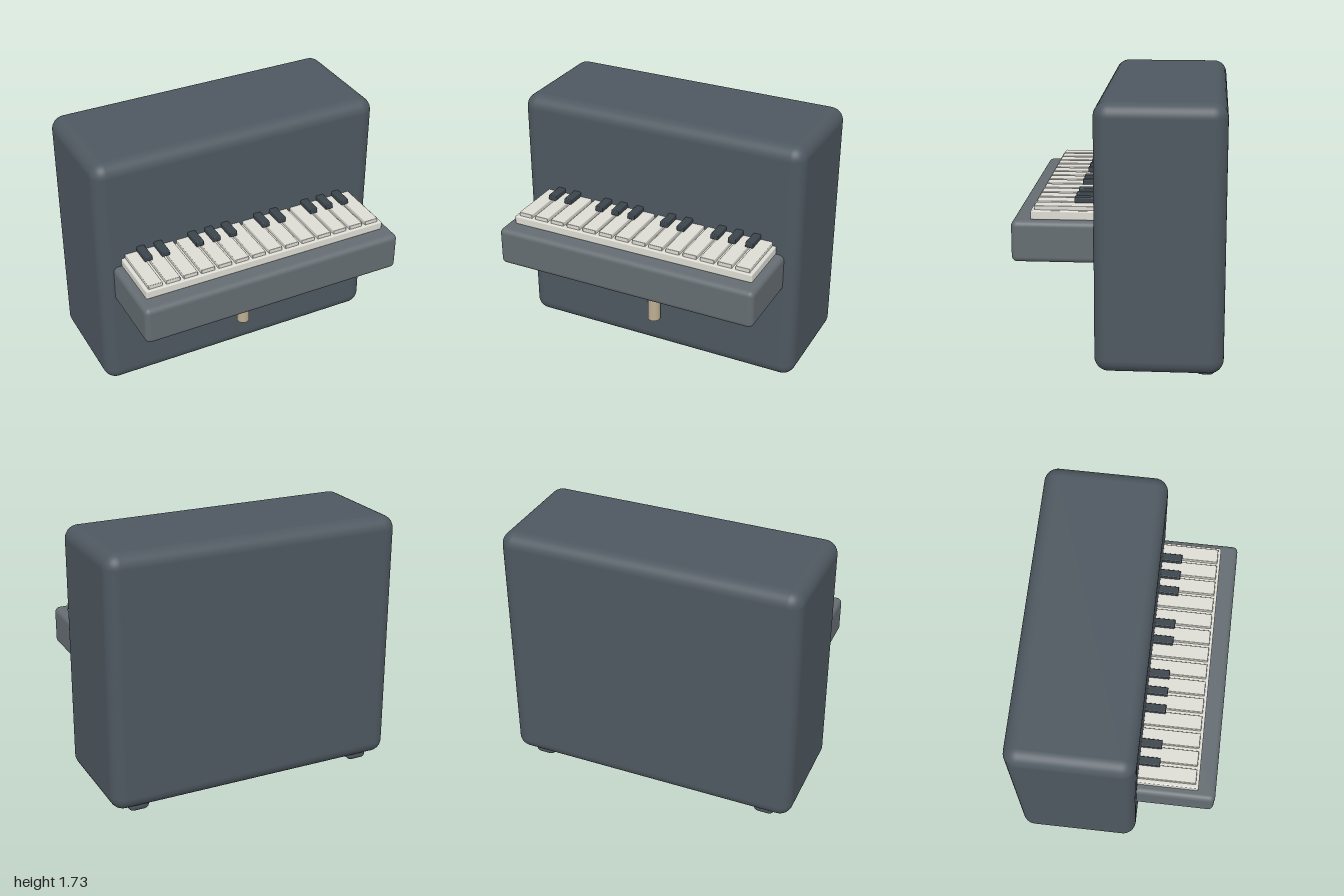
import * as THREE from 'three';
import { RoundedBoxGeometry } from 'three/addons/geometries/RoundedBoxGeometry.js';

const paint = (color) => new THREE.MeshStandardMaterial({ color });
const BODY = paint(0x4e5860);
const SHELF = paint(0x656d72);
const IVORY = paint(0xdddcd4);
const EBONY = paint(0x3c454c);
const WOOD = paint(0xbcae92);

// Rounded block given by its extents on each axis
function block(parent, name, material, [x0, x1], [y0, y1], [z0, z1], radius, segments = 3) {
  const geometry = new RoundedBoxGeometry(x1 - x0, y1 - y0, z1 - z0, segments, radius);
  const mesh = new THREE.Mesh(geometry, material);
  mesh.name = name;
  mesh.position.set((x0 + x1) / 2, (y0 + y1) / 2, (z0 + z1) / 2);
  parent.add(mesh);
  return mesh;
}

export function createModel() {
  const piano = new THREE.Group();
  piano.name = 'uprightPiano';

  // Cabinet and the shelf carrying the keyboard
  block(piano, 'cabinet', BODY, [-1, 1], [0.045, 1.735], [-0.655, 0.147], 0.09, 5);
  block(piano, 'keyShelf', SHELF, [-0.91, 0.91], [0.73, 0.99], [0.05, 0.655], 0.035, 4);

  // Keyboard: ivory bed, 14 white keys, black keys over the gaps
  const keyboard = new THREE.Group();
  keyboard.name = 'keyboard';
  piano.add(keyboard);
  block(keyboard, 'keyBed', IVORY, [-0.853, 0.853], [0.988, 1.045], [0.06, 0.54], 0.008, 2);

  const pitch = 0.12;
  const keyCount = 14;
  for (let i = 0; i < keyCount; i++) {
    const x = (i - (keyCount - 1) / 2) * pitch;
    block(keyboard, 'whiteKey', IVORY, [x - 0.048, x + 0.048], [1.035, 1.071], [0.08, 0.52], 0.005, 2);
    // No black key after the third and seventh note of each octave
    if (![2, 6].includes(i % 7)) {
      const bx = x + pitch / 2;
      block(keyboard, 'blackKey', EBONY, [bx - 0.027, bx + 0.027], [1.069, 1.106], [0.08, 0.28], 0.006, 2);
    }
  }

  // Short upright peg at the pedal position
  const pedal = new THREE.Mesh(new THREE.CylinderGeometry(0.043, 0.043, 0.16, 16), WOOD);
  pedal.name = 'pedal';
  pedal.position.set(0, 0.36, 0.187);
  piano.add(pedal);

  // Rear feet
  for (const side of [-1, 1]) {
    const x = side * 0.808;
    block(piano, 'foot', BODY, [x - 0.07, x + 0.07], [0.005, 0.085], [-0.605, -0.48], 0.035, 3);
  }

  return piano;
}
